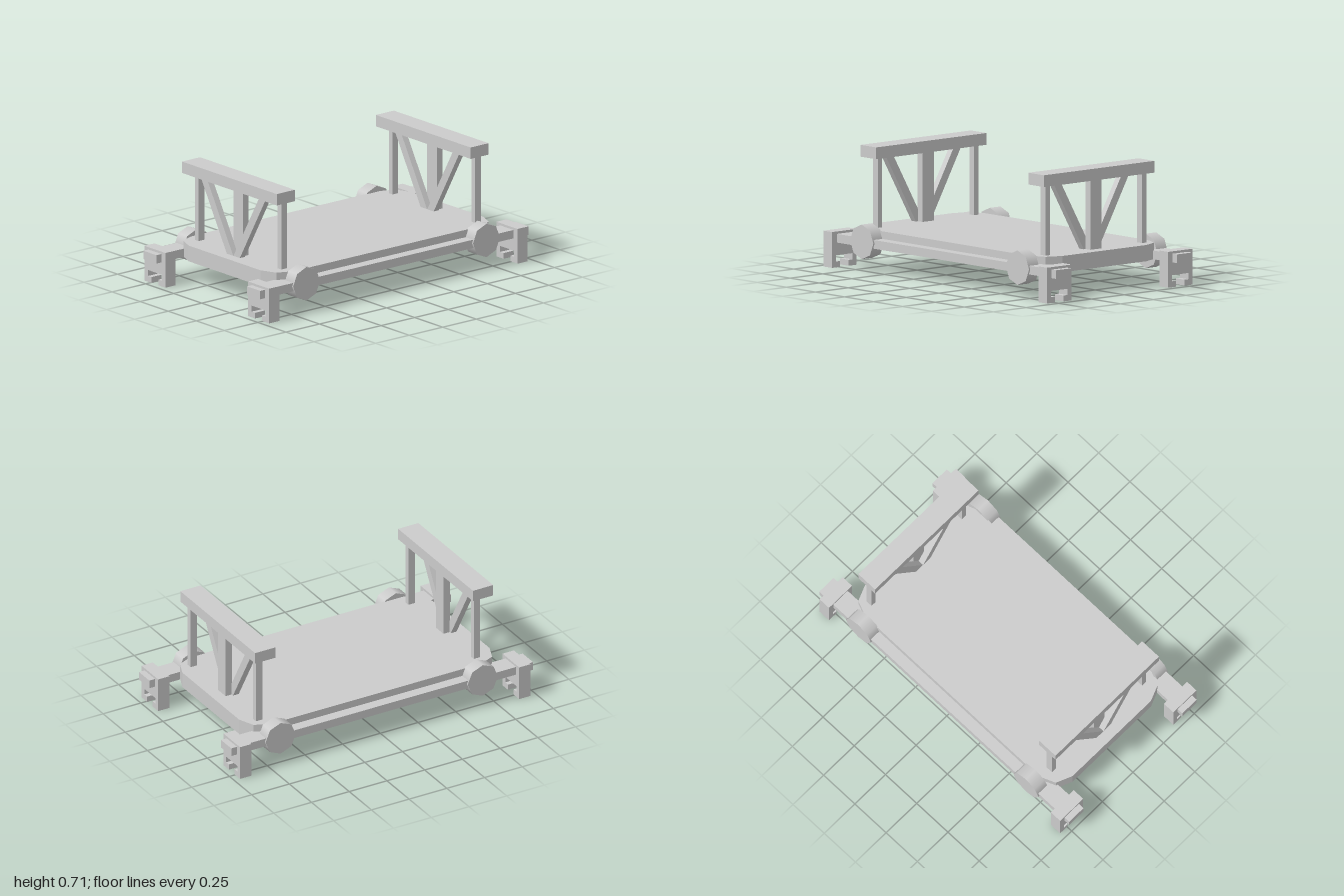
import * as THREE from 'three';

const material = new THREE.MeshStandardMaterial({ color: 0xcccccc });

function addMesh(parent, name, geometry, x = 0, y = 0, z = 0) {
  const mesh = new THREE.Mesh(geometry, material);
  mesh.name = name;
  mesh.position.set(x, y, z);
  parent.add(mesh);
  return mesh;
}

// Box given by its lower and upper corners
function addBox(parent, name, [x0, y0, z0], [x1, y1, z1]) {
  return addMesh(parent, name, new THREE.BoxGeometry(x1 - x0, y1 - y0, z1 - z0),
    (x0 + x1) / 2, (y0 + y1) / 2, (z0 + z1) / 2);
}

function extrude(points, depth) {
  const shape = new THREE.Shape(points.map(([x, y]) => new THREE.Vector2(x, y)));
  return new THREE.ExtrudeGeometry(shape, { depth, bevelEnabled: false });
}

// Flat deck with two-facet corners
function addDeck(parent) {
  const halfX = 0.455, halfZ = 0.83, r = 0.135;
  const points = [];
  for (let corner = 0; corner < 4; corner++) {
    const cx = (corner === 0 || corner === 3 ? 1 : -1) * (halfX - r);
    const cz = (corner < 2 ? 1 : -1) * (halfZ - r);
    for (let i = 0; i <= 2; i++) {
      const a = (corner + i / 2) * Math.PI / 2;
      points.push([cx + r * Math.cos(a), cz + r * Math.sin(a)]);
    }
  }
  const geometry = extrude(points, 0.094).rotateX(-Math.PI / 2);
  addMesh(parent, 'deck', geometry, 0, 0.143, 0);
}

// Trestle: top beam, corner posts, centre post and V braces in front of it
function createTrestle(name, z) {
  const trestle = new THREE.Group();
  trestle.name = name;
  const base = 0.235, top = 0.64;
  addBox(trestle, 'topBeam', [-0.422, top, -0.067], [0.422, 0.708, 0.067]);
  addBox(trestle, 'centrePost', [-0.043, base, -0.04], [0.043, top, 0.002]);
  for (const s of [1, -1]) {
    const x0 = s > 0 ? 0.352 : -0.385;
    addBox(trestle, 'cornerPost', [x0, base, -0.04], [x0 + 0.033, top, 0.002]);
    const brace = [[0, base], [s * 0.057, base], [s * 0.29, top], [s * 0.233, top]];
    addMesh(trestle, 'brace', extrude(brace, 0.038), 0, 0, 0);
  }
  trestle.position.z = z;
  return trestle;
}

// Clamp block with a T-shaped slot open at the bottom
function createClamp() {
  const half = [[0.032, 0], [0.094, 0], [0.094, 0.207]];
  const slot = [[0.063, 0.07], [0.063, 0.034], [0.032, 0.034]];
  const mirror = (list) => list.map(([x, y]) => [-x, y]).reverse();
  return extrude([...half, ...mirror(half), ...mirror(slot), ...slot], 0.075).translate(0, 0, -0.0375);
}

export function createModel() {
  const model = new THREE.Group();
  model.name = 'platformCart';

  addDeck(model);
  model.add(createTrestle('frontTrestle', 0.727), createTrestle('backTrestle', -0.717));

  const wheel = new THREE.CylinderGeometry(0.1, 0.1, 0.08, 8).rotateZ(Math.PI / 2);
  const clamp = createClamp();
  for (const s of [1, -1]) {
    const side = s > 0 ? 'left' : 'right';
    // Long side rails
    addMesh(model, side + 'Rail', new THREE.BoxGeometry(0.117, 0.05, 2), s * 0.462, 0.168, 0);
    // Octagonal wheels and end clamps
    for (const [end, wheelZ, clampZ] of [['Front', 0.662, 0.925], ['Back', -0.678, -0.925]]) {
      addMesh(model, side + end + 'Wheel', wheel, s * 0.49, 0.173, wheelZ);
      addMesh(model, side + end + 'Clamp', clamp, s * 0.462, 0, clampZ);
    }
  }
  return model;
}
